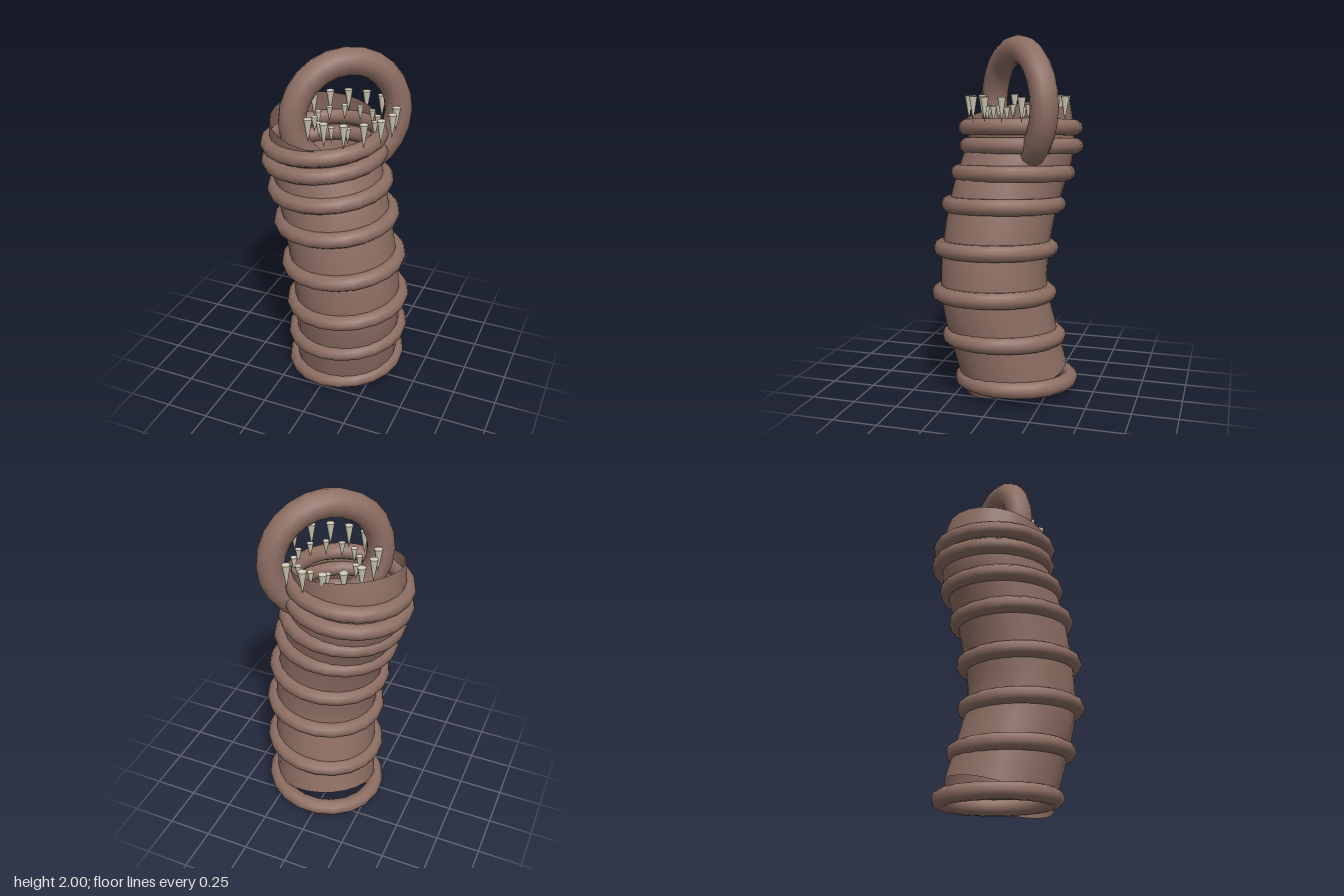
import * as THREE from 'three';

export function createModel() {
  const model = new THREE.Group();
  const skin = new THREE.MeshStandardMaterial({ color: 0x8d6e63, side: THREE.DoubleSide });
  skin.name = 'brown skin';
  const bone = new THREE.MeshStandardMaterial({ color: 0xd2ccb6 });
  bone.name = 'pale bone';

  const add = (geometry, material, name, position, parent = model) => {
    const mesh = new THREE.Mesh(geometry, material);
    mesh.name = name;
    mesh.position.set(...position);
    parent.add(mesh);
    return mesh;
  };

  // Centres of the ribs, from bottom to top
  const ribs = [
    [0.04, 0.075, -0.056], [0.072, 0.33, 0.008], [0.092, 0.58, 0.06], [0.064, 0.83, 0.058],
    [0.01, 1.07, 0.03], [-0.045, 1.243, -0.01], [-0.093, 1.39, -0.045], [-0.093, 1.492, -0.04],
  ];

  // Hollow body, open at both ends, swaying through the ribs
  const spine = new THREE.CatmullRomCurve3(
    [[0.043, 0.088, -0.053], ...ribs.slice(1), [-0.08, 1.59, -0.025]].map((p) => new THREE.Vector3(...p)));
  add(new THREE.TubeGeometry(spine, 48, 0.3, 24), skin, 'body', [0, 0, 0]);

  // Ribs, all tilted alike
  const ribGeometry = new THREE.TorusGeometry(0.307, 0.046, 10, 20);
  const tilt = new THREE.Quaternion().setFromUnitVectors(
    new THREE.Vector3(0, 0, 1), new THREE.Vector3(-0.085, 1, 0.02).normalize());
  for (const centre of ribs) add(ribGeometry, skin, 'rib', centre).quaternion.copy(tilt);

  // Upright loop through the mouth
  const loop = add(new THREE.TorusGeometry(0.302, 0.075, 12, 24), skin, 'loop', [0.028, 1.623, -0.058]);
  loop.rotation.y = THREE.MathUtils.degToRad(41.9);

  // Two rings of teeth, points down
  const teeth = new THREE.Group();
  teeth.name = 'teeth';
  model.add(teeth);
  const toothRing = (name, count, ringRadius, radius, bottom, top, startDegrees) => {
    const tooth = new THREE.ConeGeometry(radius, top - bottom, 10).rotateX(Math.PI);
    for (let i = 0; i < count; i++) {
      const a = THREE.MathUtils.degToRad(startDegrees) + (i / count) * Math.PI * 2;
      add(tooth, bone, name,
        [0.028 + ringRadius * Math.cos(a), (bottom + top) / 2, -0.058 + ringRadius * Math.sin(a)], teeth);
    }
  };
  toothRing('outerTooth', 16, 0.267, 0.023, 1.54, 1.675, 3.2);
  toothRing('innerTooth', 12, 0.17, 0.018, 1.53, 1.62, 5);

  return model;
}
